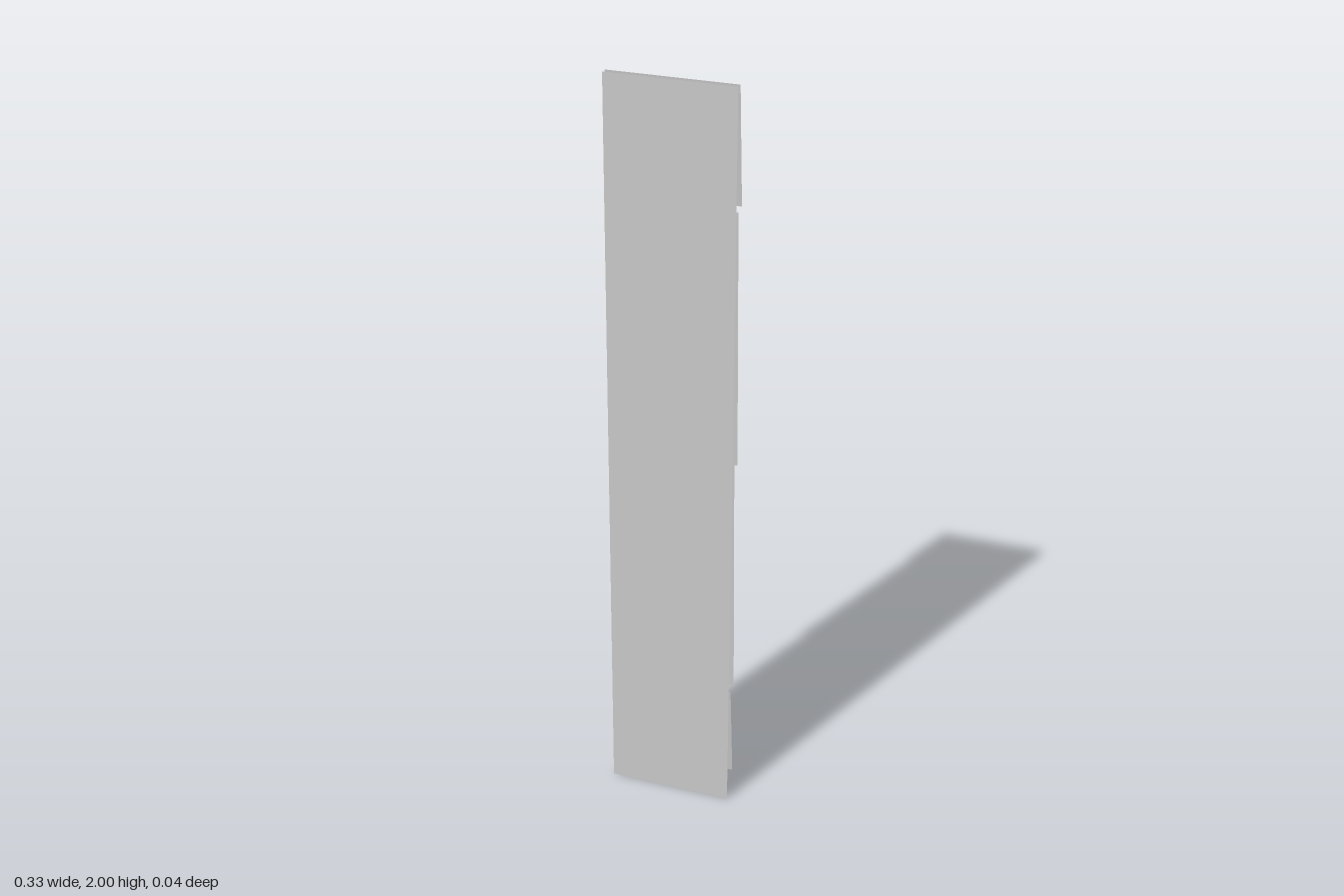
import * as THREE from 'three';

const WIDTH = 0.33;
const material = new THREE.MeshStandardMaterial({ color: 0xcccccc, side: THREE.DoubleSide });

// Thin sheet hung between a top edge and a bottom edge, facing the back (-z)
function makeSheet(name, topY, topZ, bottomY, bottomZ) {
  const dy = topY - bottomY, dz = topZ - bottomZ;
  const geometry = new THREE.PlaneGeometry(WIDTH, Math.hypot(dy, dz));
  geometry.rotateY(Math.PI);
  const mesh = new THREE.Mesh(geometry, material);
  mesh.name = name;
  mesh.rotation.x = Math.atan2(dz, dy);
  mesh.position.set(0, (topY + bottomY) / 2, (topZ + bottomZ) / 2);
  return mesh;
}

export function createModel() {
  const group = new THREE.Group();
  group.name = 'sidingStrip';

  // Flat upright sheet at the front
  const backing = new THREE.Mesh(new THREE.PlaneGeometry(WIDTH, 2), material);
  backing.name = 'backingPanel';
  backing.position.set(0, 1, 0.021);
  group.add(backing);

  // Overlapping boards on the back, each flaring outward at its lower edge
  const boards = [[2, 1.698], [1.692, 1.009], [1.024, 0.342], [0.339, 0.067]];
  boards.forEach(([top, bottom], i) => {
    group.add(makeSheet(`clapboard${i + 1}`, top, 0.0045, bottom, -0.021));
  });
  return group;
}
